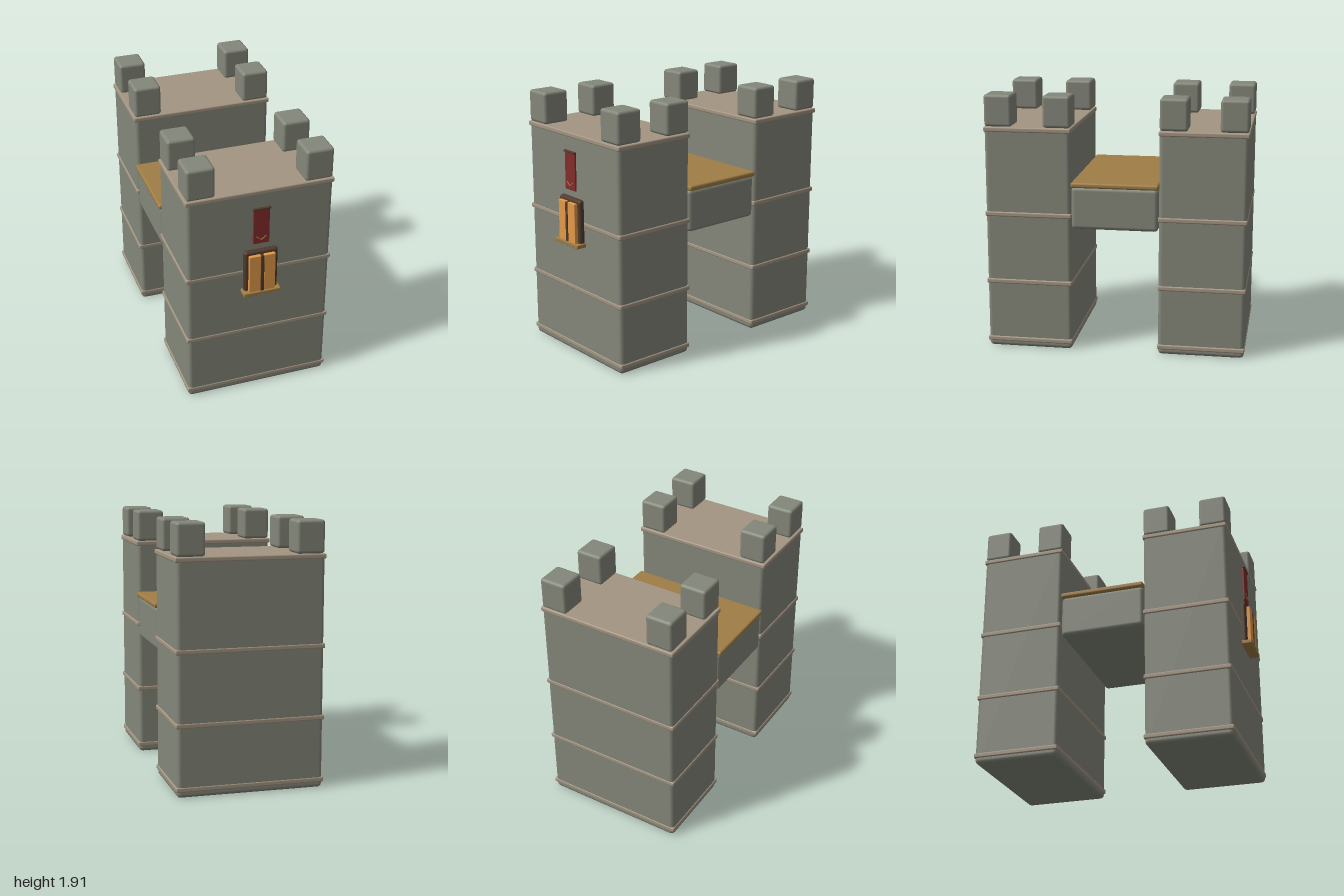
import * as THREE from 'three';
import { RoundedBoxGeometry } from 'three/addons/geometries/RoundedBoxGeometry.js';

const material = (color) => new THREE.MeshStandardMaterial({ color });

export function createModel() {
  const model = new THREE.Group();
  const stone = material(0x84877a);
  const trim = material(0xa39582);
  const wood = material(0xa07d45);
  const darkWood = material(0x4f3a2c);
  const glow = material(0xe39a48);
  const cloth = material(0x842c2a);

  // Softly bevelled block given by its extents [min, max] on each axis
  function block(parent, name, mat, [x0, x1], [y0, y1], [z0, z1], radius) {
    const geometry = new RoundedBoxGeometry(x1 - x0, y1 - y0, z1 - z0, 2, radius);
    const mesh = new THREE.Mesh(geometry, mat);
    mesh.name = name;
    mesh.position.set((x0 + x1) / 2, (y0 + y1) / 2, (z0 + z1) / 2);
    parent.add(mesh);
    return mesh;
  }

  // Tower: body, four trim bands and four corner merlons
  function tower(name, z) {
    const group = new THREE.Group();
    group.name = name;
    group.position.z = z;
    block(group, 'towerBody', stone, [-0.532, 0.532], [0, 1.672], [-0.318, 0.318], 0.03);
    for (const y of [0.06, 0.513, 1.028, 1.658]) {
      block(group, 'trimBand', trim, [-0.54, 0.54], [y - 0.018, y + 0.018], [-0.322, 0.322], 0.01);
    }
    for (const sx of [-1, 1]) {
      for (const sz of [-1, 1]) {
        const merlon = block(group, 'merlon', stone,
          [-0.102, 0.102], [1.676, 1.91], [-0.102, 0.102], 0.022);
        merlon.position.x = sx * 0.427;
        merlon.position.z = sz * 0.216;
      }
    }
    model.add(group);
  }
  tower('frontTower', 0.606);
  tower('backTower', -0.676);

  // Bridge between the towers
  const bridge = new THREE.Group();
  bridge.name = 'bridge';
  block(bridge, 'bridgeBody', stone, [-0.53, 0.53], [0.932, 1.25], [-0.354, 0.286], 0.03);
  block(bridge, 'bridgeDeck', wood, [-0.544, 0.544], [1.244, 1.284], [-0.356, 0.286], 0.015);
  model.add(bridge);

  // Window with two lit panes, a mullion and a sill
  const window = new THREE.Group();
  window.name = 'window';
  block(window, 'windowFrame', darkWood, [-0.125, 0.125], [0.87, 1.21], [0.915, 0.962], 0.02);
  for (const side of [-1, 1]) {
    const pane = block(window, 'windowPane', glow, [-0.042, 0.042], [0.885, 1.183], [0.95, 0.988], 0.003);
    pane.position.x = side * 0.054;
  }
  block(window, 'windowMullion', darkWood, [-0.012, 0.012], [0.885, 1.183], [0.95, 0.992], 0.003);
  block(window, 'windowSill', wood, [-0.138, 0.138], [0.86, 0.89], [0.92, 1], 0.006);
  model.add(window);

  // Hanging banner with a rod and a stitched chevron
  const banner = new THREE.Group();
  banner.name = 'banner';
  block(banner, 'bannerCloth', cloth, [-0.06, 0.06], [1.263, 1.542], [0.934, 0.95], 0.006);
  block(banner, 'bannerRod', darkWood, [-0.065, 0.065], [1.536, 1.55], [0.936, 0.957], 0.004);
  for (const side of [-1, 1]) {
    const stitch = block(banner, 'bannerChevron', wood, [-0.023, 0.023], [-0.003, 0.003], [0.944, 0.955], 0.001);
    stitch.position.x = side * 0.018;
    stitch.position.y = 1.309;
    stitch.rotation.z = side * 0.68;
  }
  model.add(banner);

  return model;
}
